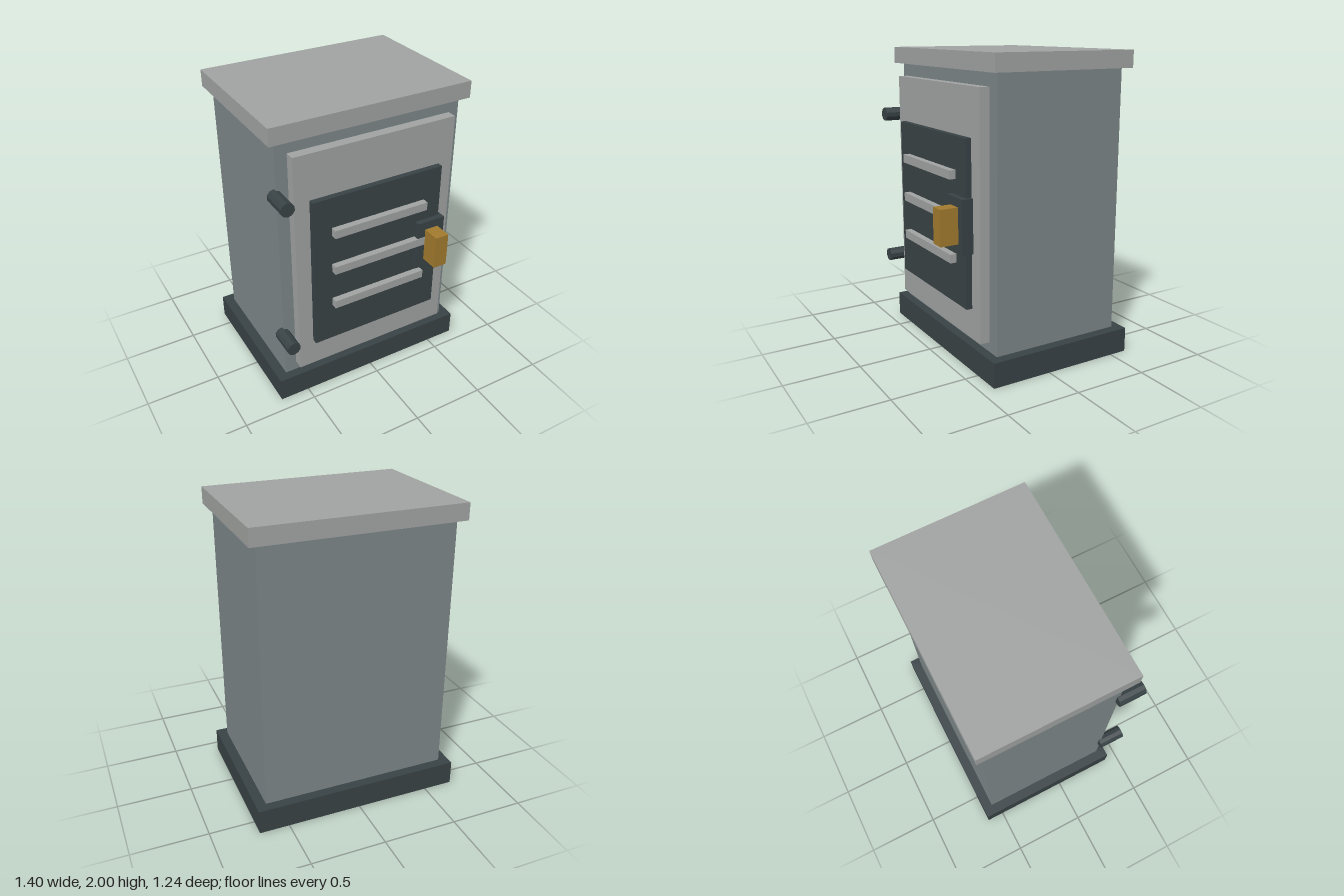
import * as THREE from 'three';

const paint = (color) => new THREE.MeshStandardMaterial({ color, flatShading: true });

export function createModel() {
  const model = new THREE.Group();
  const dark = paint(0x384245);
  const steel = paint(0x7d8688);
  const pale = paint(0xa0a3a1);
  const brass = paint(0xa27a2e);

  function add(name, geometry, material) {
    const mesh = new THREE.Mesh(geometry, material);
    mesh.name = name;
    model.add(mesh);
    return mesh;
  }

  // Box given by its limits on each axis
  function box(name, material, [x0, x1], [y0, y1], [z0, z1]) {
    const mesh = add(name, new THREE.BoxGeometry(x1 - x0, y1 - y0, z1 - z0), material);
    mesh.position.set((x0 + x1) / 2, (y0 + y1) / 2, (z0 + z1) / 2);
  }

  // Cabinet
  box('base', dark, [-0.7, 0.7], [0, 0.165], [-0.62, 0.41]);
  box('body', steel, [-0.633, 0.633], [0.165, 1.89], [-0.555, 0.35]);
  box('topSlab', pale, [-0.683, 0.683], [1.89, 2], [-0.603, 0.397]);

  // Door with its inset panel
  box('door', pale, [-0.558, 0.558], [0.237, 1.805], [0.357, 0.423]);
  box('doorPanel', dark, [-0.458, 0.458], [0.437, 1.503], [0.415, 0.462]);

  // Horizontal vent bars
  for (const y of [0.737, 1.003, 1.268]) {
    box('ventBar', pale, [-0.333, 0.333], [y - 0.028, y + 0.028], [0.455, 0.505]);
  }

  // Latch
  box('latchPlate', dark, [0.28, 0.48], [0.797, 1.143], [0.425, 0.5]);
  box('handle', brass, [0.335, 0.43], [0.857, 1.087], [0.49, 0.62]);

  // Hinge pins on the front edge
  for (const y of [0.503, 1.537]) {
    const pin = add('hingePin', new THREE.CylinderGeometry(0.046, 0.046, 0.18, 10), dark);
    pin.rotation.x = Math.PI / 2;
    pin.position.set(-0.637, y, 0.417);
  }

  return model;
}
